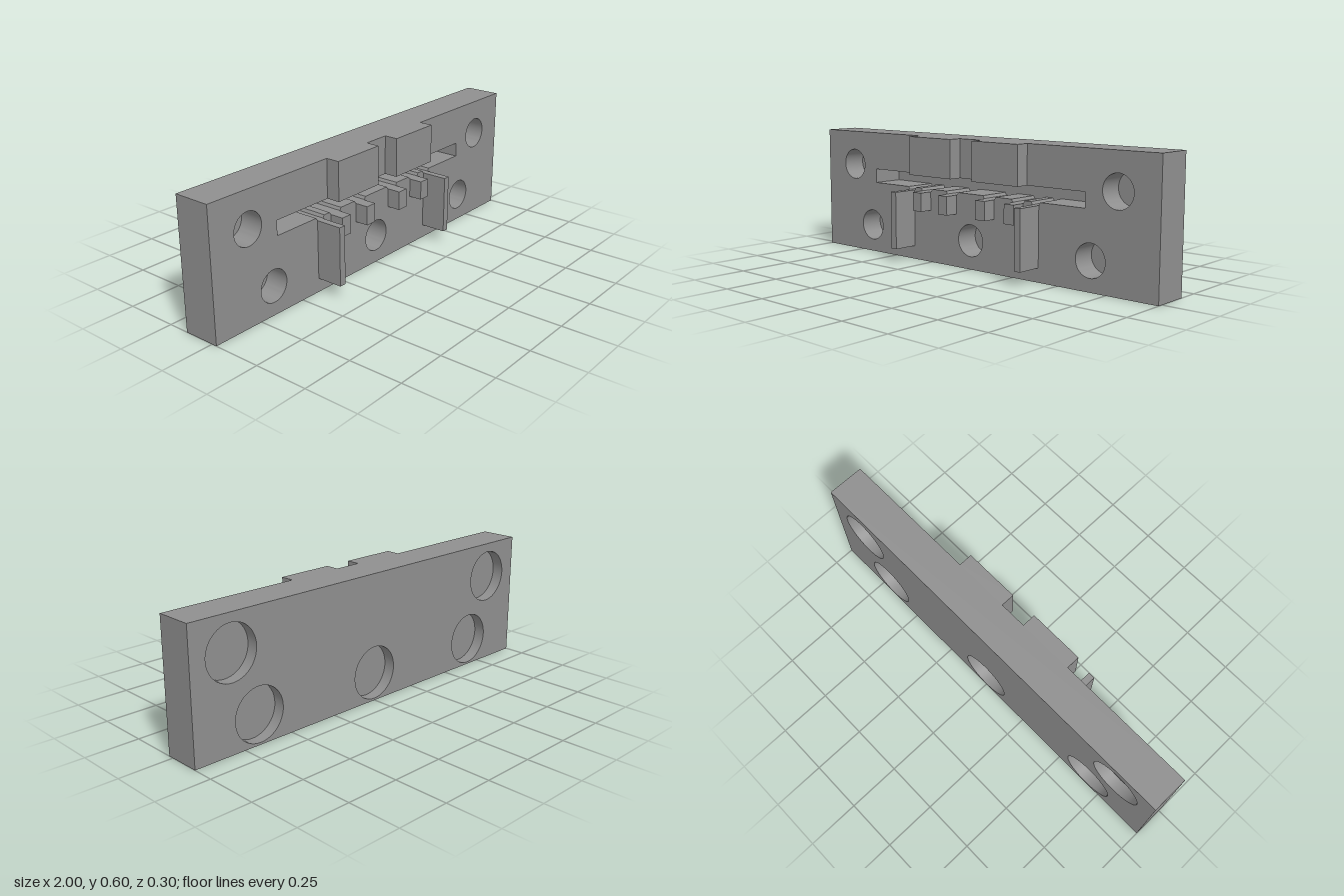
import * as THREE from 'three';
import { mergeGeometries, toCreasedNormals } from 'three/addons/utils/BufferGeometryUtils.js';

const BACK = -0.15, FRONT = 0.025;      // plate faces
const SLOT_BACK = -0.13;                // floor of the slot
const BORE_FLOOR = -0.09, RECESS_FLOOR = -0.095;
const HOLES = [[-0.8, 0.435], [0.8, 0.435], [-0.67, 0.135], [0, 0.135], [0.67, 0.135]];
const V = (x, y) => new THREE.Vector2(x, y);

function circle([cx, cy], r, n = 48) {
  return Array.from({ length: n }, (_, i) => {
    const a = (i / n) * Math.PI * 2;
    return V(cx + r * Math.cos(a), cy + r * Math.sin(a));
  });
}

// Flat face at depth z, facing +z, or -z when flipped
function face(points, holes, z, flip = false) {
  const shape = new THREE.Shape(points);
  shape.holes = holes.map((h) => new THREE.Path(h));
  let g = new THREE.ShapeGeometry(shape);
  if (flip) {
    const idx = g.index.array;
    for (let i = 0; i < idx.length; i += 3) [idx[i], idx[i + 1]] = [idx[i + 1], idx[i]];
  }
  g = g.toNonIndexed().translate(0, 0, z);
  g.deleteAttribute('uv');
  g.deleteAttribute('normal');
  return g;
}

// Walls along a counter-clockwise loop, facing outward, or inward for a pocket
function walls(points, z0, z1, inward = false) {
  const pos = [];
  points.forEach((p, i) => {
    const q = points[(i + 1) % points.length];
    const [a, b] = inward ? [q, p] : [p, q];
    pos.push(a.x, a.y, z0, b.x, b.y, z0, b.x, b.y, z1);
    pos.push(a.x, a.y, z0, b.x, b.y, z1, a.x, a.y, z1);
  });
  const g = new THREE.BufferGeometry();
  g.setAttribute('position', new THREE.Float32BufferAttribute(pos, 3));
  return g;
}

// Slot outline with shallow notches along its lower lip
function slotOutline() {
  const pts = [V(-0.64, 0.352)];
  const notches = [[-0.406, -0.355], [-0.32, -0.245], [-0.153, -0.077],
    [0.077, 0.153], [0.245, 0.32], [0.355, 0.406]];
  for (const [a, b] of notches) {
    pts.push(V(a, 0.352), V(a + 0.008, 0.339), V(b - 0.008, 0.339), V(b, 0.352));
  }
  pts.push(V(0.64, 0.352), V(0.64, 0.42), V(-0.64, 0.42));
  return pts;
}

function plateGeometry() {
  const outline = [V(-1, 0), V(1, 0), V(1, 0.602), V(-1, 0.602)];
  const slot = slotOutline();
  const bores = HOLES.map((c) => circle(c, 0.075));
  const recesses = HOLES.map((c) => circle(c, 0.125));
  const parts = [
    face(outline, [...bores, slot], FRONT),
    face(outline, recesses, BACK, true),
    walls(outline, BACK, FRONT),
    walls(slot, SLOT_BACK, FRONT, true),
    face(slot, [], SLOT_BACK),
  ];
  // Front bores and wider back recesses, parted by a thin web
  for (const b of bores) parts.push(walls(b, BORE_FLOOR, FRONT, true), face(b, [], BORE_FLOOR));
  for (const r of recesses) parts.push(walls(r, BACK, RECESS_FLOOR, true), face(r, [], RECESS_FLOOR, true));
  const g = mergeGeometries(parts);
  g.computeVertexNormals();
  return toCreasedNormals(g, 0.5);
}

export function createModel() {
  const model = new THREE.Group();
  model.name = 'mountingPlate';
  const grey = new THREE.MeshStandardMaterial({ color: 0x8f8f8f });
  grey.name = 'grey';

  const plate = new THREE.Mesh(plateGeometry(), grey);
  plate.name = 'plate';
  model.add(plate);

  // Box standing on the front of the plate
  function frontBox(name, x0, x1, y0, y1, z1) {
    const mesh = new THREE.Mesh(new THREE.BoxGeometry(x1 - x0, y1 - y0, z1 - FRONT), grey);
    mesh.position.set((x0 + x1) / 2, (y0 + y1) / 2, (FRONT + z1) / 2);
    mesh.name = name;
    model.add(mesh);
  }

  for (const [side, s] of [['left', 1], ['right', -1]]) {
    const add = (name, a, b, y0, y1, z1) =>
      frontBox(side + name, Math.min(s * a, s * b), Math.max(s * a, s * b), y0, y1, z1);
    add('UpperBlock', 0.065, 0.332, 0.42, 0.602, 0.09);
    add('InnerTooth', 0.088, 0.144, 0.25, 0.339, 0.09);
    add('OuterTooth', 0.256, 0.311, 0.25, 0.339, 0.09);
    add('Rib', 0.365, 0.398, 0.065, 0.339, 0.15);
  }
  return model;
}
